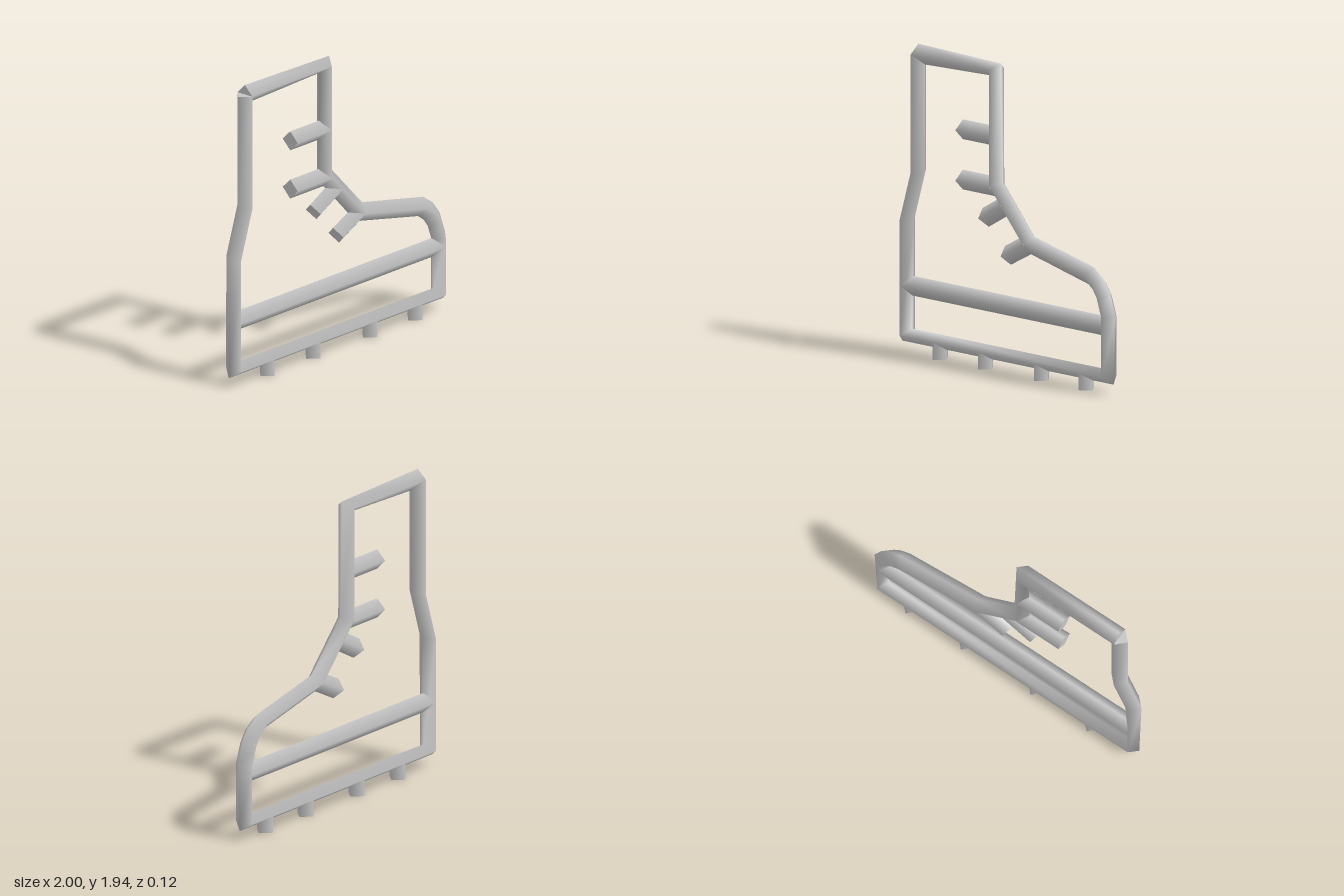
import * as THREE from 'three';

const R = 0.062;

// Capped four-sided rod along a path in the xy plane, rings turned to the bisector at each bend
function rod(path) {
  const pts = path.map(([x, y]) => new THREE.Vector2(x, y));
  const pos = [], nor = [], idx = [], last = pts.length - 1;
  const dir = (i) => pts[i + 1].clone().sub(pts[i]).normalize();
  const ring = (i, capNormal) => {
    const t = dir(Math.max(i - 1, 0)).add(dir(Math.min(i, last - 1))).normalize();
    const sides = [[-t.y, t.x, 0], [0, 0, 1], [t.y, -t.x, 0], [0, 0, -1]];
    const start = pos.length / 3;
    for (const [x, y, z] of sides) {
      pos.push(pts[i].x + R * x, pts[i].y + R * y, R * z);
      if (capNormal) nor.push(t.x * capNormal, t.y * capNormal, 0);
      else nor.push(x, y, z);
    }
    return start;
  };
  for (let i = 0; i <= last; i++) ring(i);
  for (let i = 0; i < last; i++) {
    for (let k = 0; k < 4; k++) {
      const a = i * 4 + k, b = i * 4 + (k + 1) % 4;
      idx.push(a, b, b + 4, a, b + 4, a + 4);
    }
  }
  const s = ring(0, -1), e = ring(last, 1);
  idx.push(s, s + 2, s + 1, s, s + 3, s + 2, e, e + 1, e + 2, e, e + 2, e + 3);
  const g = new THREE.BufferGeometry();
  g.setAttribute('position', new THREE.Float32BufferAttribute(pos, 3));
  g.setAttribute('normal', new THREE.Float32BufferAttribute(nor, 3));
  g.setIndex(idx);
  return g;
}

export function createModel() {
  const model = new THREE.Group();
  model.name = 'bootOutline';
  const grey = new THREE.MeshStandardMaterial({ color: 0xc4c4c4 });
  grey.name = 'grey';
  const add = (name, path) => {
    const mesh = new THREE.Mesh(rod(path), grey);
    mesh.name = name;
    model.add(mesh);
  };

  // Boot contour: heel side down, along the sole, round the toe and up the shaft
  add('bootContour', [
    [-0.835, 1.88], [-0.835, 1.145], [-0.937, 0.835], [-0.938, 0.107],
    [0.938, 0.107], [0.938, 0.48], [0.895, 0.6], [0.845, 0.667], [0.775, 0.716],
    [0.21, 0.833], [-0.105, 1.16], [-0.107, 1.882], [-0.835, 1.88],
  ]);

  // Top line of the sole
  add('soleLine', [[-0.937, 0.42], [0.938, 0.42]]);

  // Lace bars
  [
    [[-0.42, 1.465], [-0.106, 1.465]],
    [[-0.42, 1.15], [-0.105, 1.15]],
    [[-0.208, 0.943], [-0.005, 1.05]],
    [[0, 0.735], [0.21, 0.838]],
  ].forEach((path, i) => add(`laceBar${i + 1}`, path));

  // Sole studs
  [-0.63, -0.21, 0.31, 0.725].forEach((x, i) => add(`soleStud${i + 1}`, [[x, 0.107], [x, 0]]));

  return model;
}
